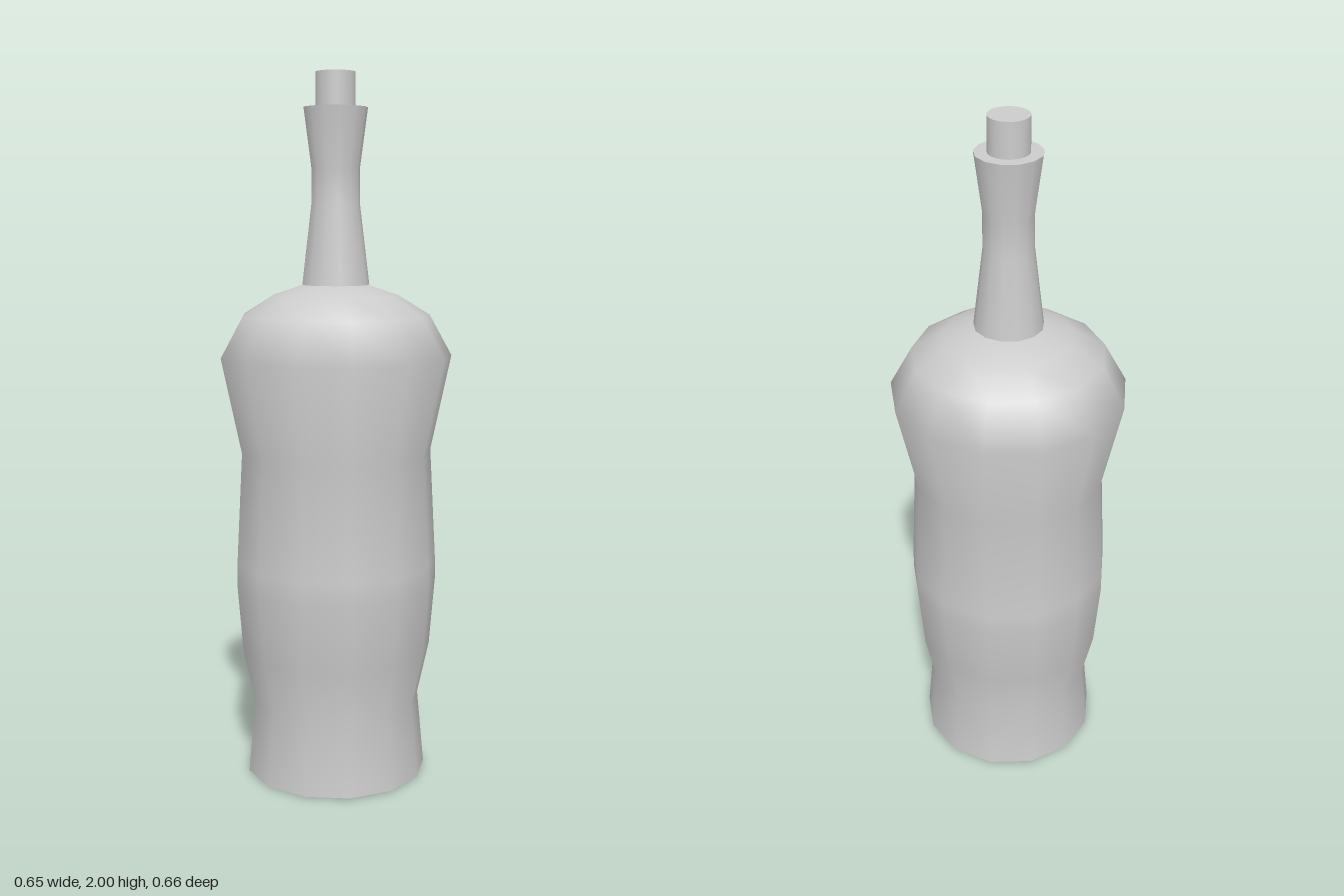
import * as THREE from 'three';

const CENTRE_X = -0.005;

// Turned part from [radius, height] pairs, listed bottom to top; first corner faces +x
function turned(name, profile, sides) {
  const points = profile.map(([r, y]) => new THREE.Vector2(r, y));
  const geometry = new THREE.LatheGeometry(points, sides, Math.PI / 2);
  const mesh = new THREE.Mesh(geometry, new THREE.MeshStandardMaterial({ color: 0xcccccc }));
  mesh.name = name;
  mesh.position.x = CENTRE_X;
  return mesh;
}

export function createModel() {
  const model = new THREE.Group();
  model.name = 'bottle';

  // Waisted body with a rounded shoulder
  model.add(turned('body', [
    [0.262, 0.005], [0.242, 0.22], [0.275, 0.37], [0.291, 0.57], [0.29, 0.63],
    [0.273, 0.95], [0.33, 1.22], [0.267, 1.335], [0.178, 1.39], [0.09, 1.42], [0, 1.425],
  ], 13));

  // Underside with a softly bevelled rim
  model.add(turned('base', [[0, 0], [0.21, 0], [0.262, 0.005]], 13));

  // Slender neck, flared at both ends, with a flat lip
  model.add(turned('neck', [
    [0.0955, 1.42], [0.069, 1.64], [0.068, 1.74], [0.09, 1.905],
  ], 13));
  model.add(turned('neckLip', [[0.09, 1.905], [0, 1.905]], 13));

  // Round stopper
  model.add(turned('stopper', [[0.055, 1.9], [0.055, 2]], 32));
  model.add(turned('stopperTop', [[0.055, 2], [0, 2]], 32));

  return model;
}
